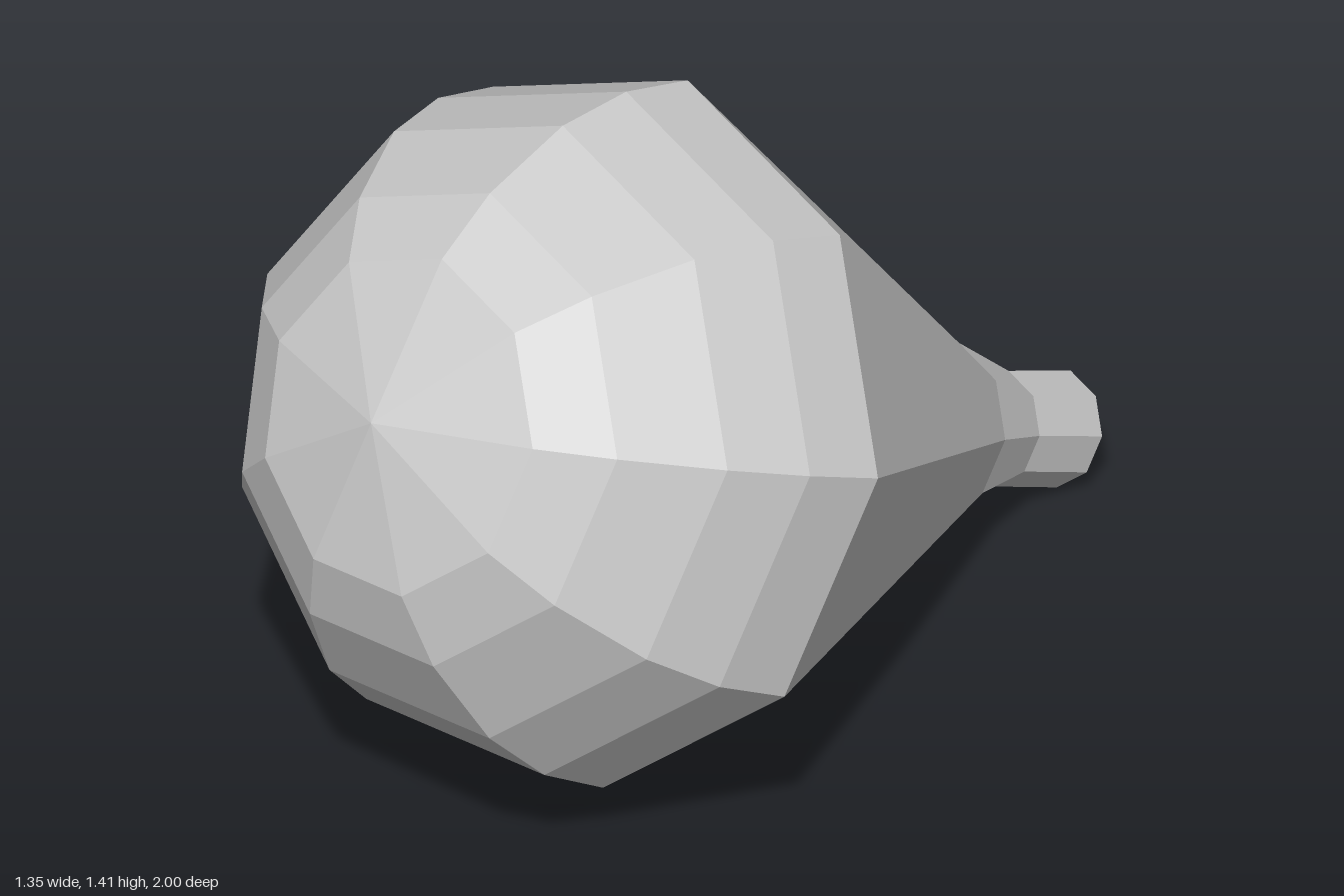
import * as THREE from 'three';

const SIDES = 9;
const TAIL = new THREE.Vector3(-0.24, 0.105, -0.95); // centre of the open mouth
const TIP = new THREE.Vector3(0.14, 1.02, 0.92);     // crown of the dome
const SEAM = new THREE.Vector3(-0.102, 0.628, -0.281); // direction of one rib

export function createModel() {
  const group = new THREE.Group();
  group.name = 'balloon';

  // Profile as (radius, distance along the axis): neck, cone, then a dome
  const length = TIP.distanceTo(TAIL);
  const R = 0.697;
  const profile = [[0.115, 0], [0.114, 0.192], [0.17, 0.368]]
    .map(([r, t]) => new THREE.Vector2(r, t));
  for (const degrees of [90, 75, 60, 42, 28.5, 0]) {
    const a = THREE.MathUtils.degToRad(degrees);
    profile.push(new THREE.Vector2(R * Math.sin(a), length - R + R * Math.cos(a)));
  }

  // Nine-sided body, open at the neck
  const body = new THREE.Mesh(
    new THREE.LatheGeometry(profile, SIDES),
    new THREE.MeshStandardMaterial({ color: 0xcccccc, flatShading: true, side: THREE.DoubleSide })
  );
  body.name = 'balloonBody';

  // Lean the body along the tail-to-tip axis with a rib on the seam
  const axis = TIP.clone().sub(TAIL).normalize();
  const rib = SEAM.clone().addScaledVector(axis, -SEAM.dot(axis)).normalize();
  const across = new THREE.Vector3().crossVectors(axis, rib);
  body.quaternion.setFromRotationMatrix(new THREE.Matrix4().makeBasis(across, axis, rib));
  body.position.copy(TAIL);

  group.add(body);
  return group;
}
